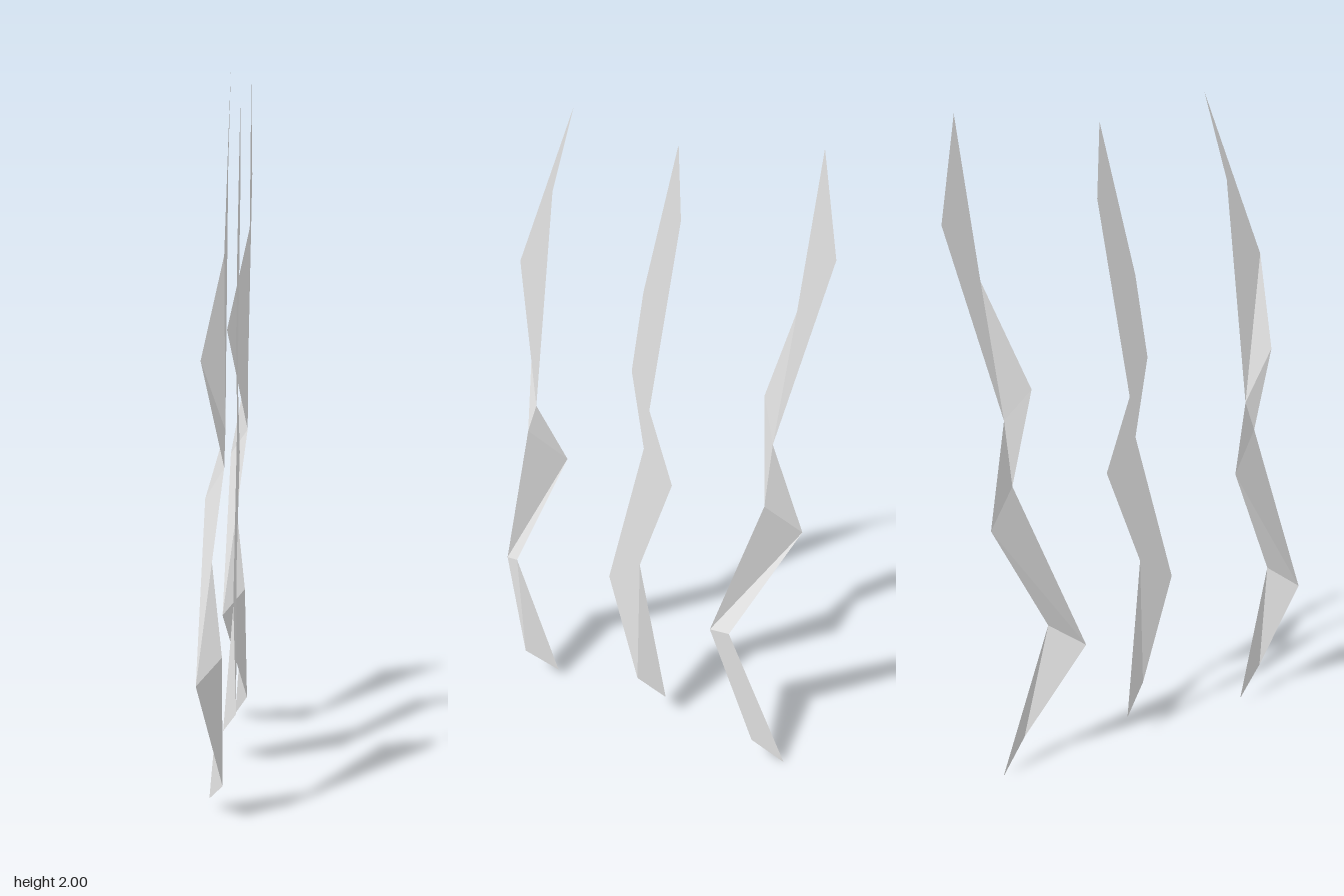
import * as THREE from 'three';

// Each strand: a top tip, then five left/right edge pairs, as [z, y, x].
const FLAT = 0.03;
const FOLD = -0.03;
const TOE = -0.015;

const strands = {
  frontStrand: {
    tip: [0.21, 1.98],
    left: [[0.4, 1.5], [0.412, 1.23, FOLD], [0.4, 0.95], [0.545, 0.405, FOLD], [0.45, 0.105]],
    right: [[0.285, 1.73], [0.367, 1.045], [0.304, 0.85, FOLD], [0.465, 0.46], [0.355, 0.033, TOE]],
  },
  middleStrand: {
    tip: [-0.098, 1.935],
    left: [[0.005, 1.5], [0.043, 1.25], [0.005, 1.01], [0.127, 0.52], [0.03, 0.165]],
    right: [[-0.107, 1.73], [-0.013, 1.14], [-0.087, 0.915], [0.02, 0.6], [-0.046, 0.087, TOE]],
  },
  backStrand: {
    tip: [-0.495, 2.0],
    left: [[-0.445, 1.555], [-0.336, 1.25, FOLD], [-0.378, 0.94], [-0.188, 0.4, FOLD], [-0.37, 0.09]],
    right: [[-0.543, 1.72], [-0.395, 1.145], [-0.47, 0.85, FOLD], [-0.282, 0.46], [-0.46, 0.005, TOE]],
  },
};

// Folded ribbon joining the two edges; vertex order is tip, left 1-5, right 6-10.
function ribbonGeometry({ tip, left, right }) {
  const points = [tip, ...left, ...right].flatMap(([z, y, x = FLAT]) => [x, y, z]);
  const L = (i) => 1 + i;
  const R = (i) => 6 + i;
  const faces = [0, L(0), R(0), R(0), L(0), R(1), L(0), L(1), R(1)];
  for (let i = 1; i < 4; i++) {
    faces.push(R(i), L(i), L(i + 1));
    if (i < 3) faces.push(R(i), L(i + 1), R(i + 1));
  }
  faces.push(R(3), L(4), R(4));
  const geometry = new THREE.BufferGeometry();
  geometry.setAttribute('position', new THREE.Float32BufferAttribute(points, 3));
  geometry.setIndex(faces);
  const flat = geometry.toNonIndexed();
  flat.computeVertexNormals();
  return flat;
}

export function createModel() {
  const group = new THREE.Group();
  group.name = 'wavyStrands';
  const paleGrey = new THREE.MeshStandardMaterial({
    name: 'pale grey', color: 0xe7e7e7, flatShading: true, side: THREE.DoubleSide,
  });
  for (const [name, strand] of Object.entries(strands)) {
    const mesh = new THREE.Mesh(ribbonGeometry(strand), paleGrey);
    mesh.name = name;
    group.add(mesh);
  }
  return group;
}
